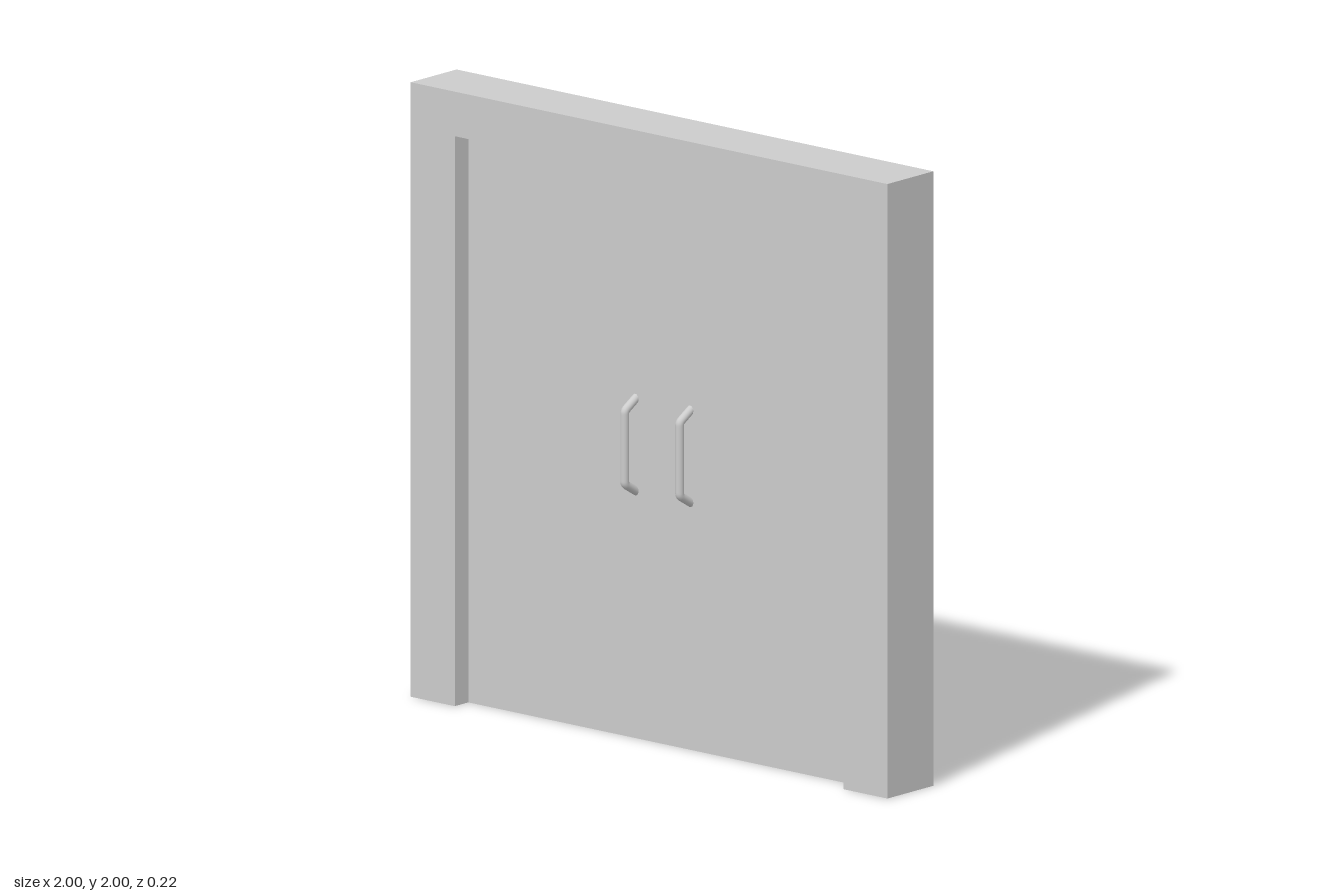
import * as THREE from 'three';

const material = new THREE.MeshStandardMaterial({ color: 0xcccccc });
const FRAME_DEPTH = 0.22;
const DOOR_DEPTH = 0.09;
const OPENING_X = 0.815;
const OPENING_Y = 1.855;

function add(parent, name, geometry) {
  const mesh = new THREE.Mesh(geometry, material);
  mesh.name = name;
  parent.add(mesh);
  return mesh;
}

// Bent pull bar: slanted legs from the door face to an upright grip
function handleGeometry() {
  const v = (y, z) => new THREE.Vector3(0, y, z);
  const path = new THREE.CurvePath();
  path.add(new THREE.LineCurve3(v(-0.154, 0.037), v(-0.124, 0.087)));
  path.add(new THREE.QuadraticBezierCurve3(v(-0.124, 0.087), v(-0.119, 0.095), v(-0.11, 0.095)));
  path.add(new THREE.LineCurve3(v(-0.11, 0.095), v(0.11, 0.095)));
  path.add(new THREE.QuadraticBezierCurve3(v(0.11, 0.095), v(0.119, 0.095), v(0.124, 0.087)));
  path.add(new THREE.LineCurve3(v(0.124, 0.087), v(0.154, 0.037)));
  return new THREE.TubeGeometry(path, 80, 0.014, 20, false);
}

export function createModel() {
  const model = new THREE.Group();
  model.name = 'doubleDoor';

  // Frame: two jambs and a header in one outline, open at the floor
  const outline = new THREE.Shape([
    [-1, 0], [-OPENING_X, 0], [-OPENING_X, OPENING_Y], [OPENING_X, OPENING_Y],
    [OPENING_X, 0], [1, 0], [1, 2], [-1, 2],
  ].map(([x, y]) => new THREE.Vector2(x, y)));
  const frame = new THREE.ExtrudeGeometry(outline, { depth: FRAME_DEPTH, bevelEnabled: false });
  frame.translate(0, 0, -FRAME_DEPTH / 2);
  add(model, 'doorFrame', frame);

  // Door panel, recessed on both faces
  const panel = add(model, 'doorPanel', new THREE.BoxGeometry(OPENING_X * 2, OPENING_Y, DOOR_DEPTH));
  panel.position.y = OPENING_Y / 2;

  // A pair of handles on each face
  const geometry = handleGeometry();
  for (const face of ['front', 'back']) {
    for (const side of [-1, 1]) {
      const handle = add(model, face + (side > 0 ? 'LeftHandle' : 'RightHandle'), geometry);
      handle.position.set(side * 0.115, 0.955, 0);
      if (face === 'back') handle.rotation.y = Math.PI;
    }
  }
  return model;
}
